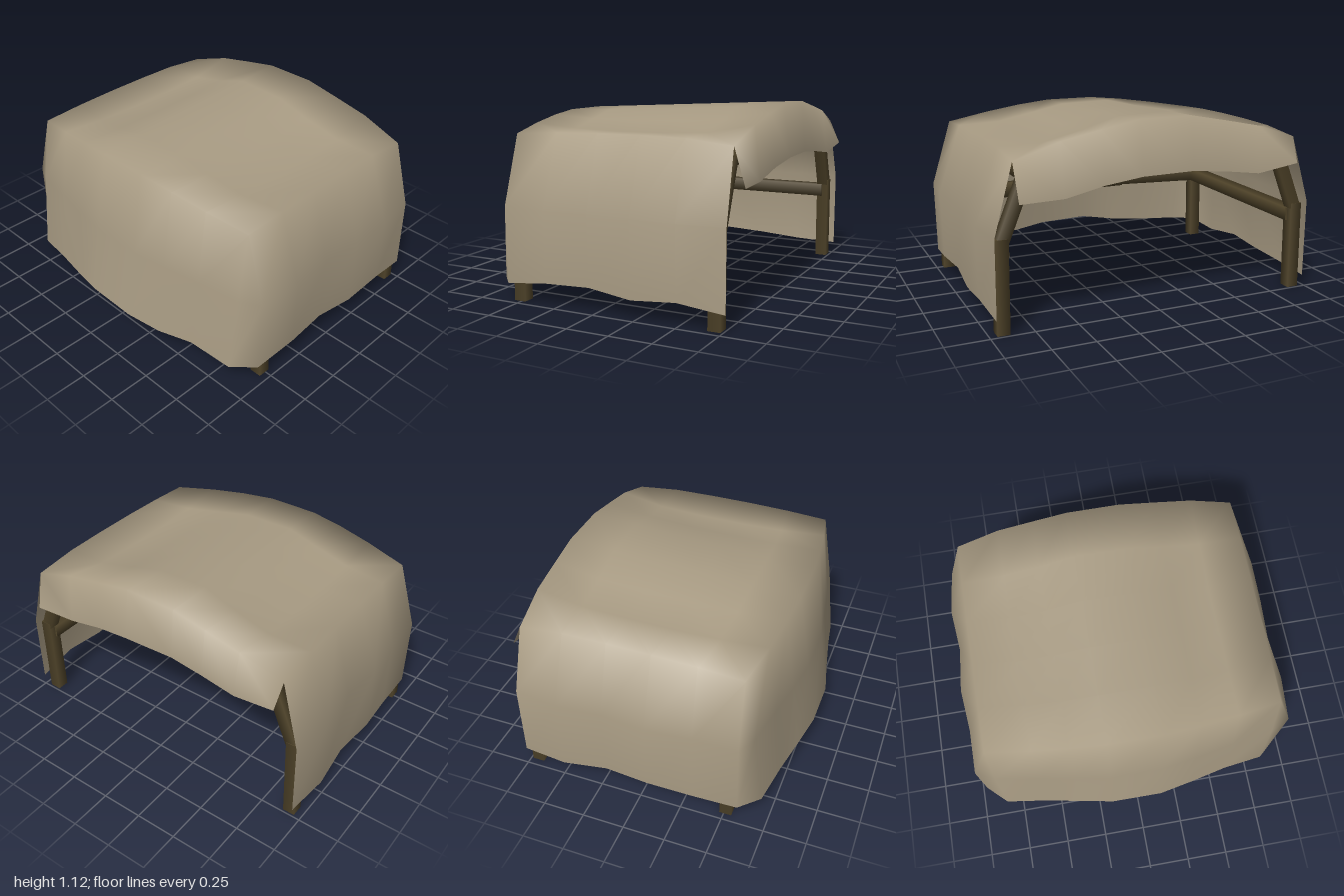
import * as THREE from 'three';
import { mergeVertices } from 'three/addons/utils/BufferGeometryUtils.js';

const fabric = new THREE.MeshStandardMaterial({ color: 0xa89b83, side: THREE.DoubleSide });
fabric.name = 'hide';
const wood = new THREE.MeshStandardMaterial({ color: 0x4f4329 });
wood.name = 'darkWood';

// Builds a smooth surface from quads, welding shared corners
function quadSurface(quads) {
  const pos = [];
  for (const [a, b, c, d] of quads) pos.push(...a, ...b, ...c, ...a, ...c, ...d);
  let g = new THREE.BufferGeometry();
  g.setAttribute('position', new THREE.Float32BufferAttribute(pos, 3));
  g = mergeVertices(g, 1e-4);
  g.computeVertexNormals();
  return g;
}

function buildCover() {
  const lerp = THREE.MathUtils.lerp;
  const quads = [];
  // Roof rows from front to back: z, left x, right x, left height, right height, sag between the ends
  const rows = [
    [0.86, -0.57, 0.76, 0.95, 0.945, -0.028], [0.6, -0.62, 0.77, 0.99, 1.03, 0.05],
    [0.37, -0.65, 0.77, 1.02, 1.075, 0.04], [0.15, -0.67, 0.77, 1.04, 1.115, 0.01],
    [-0.17, -0.67, 0.77, 1.04, 1.115, 0], [-0.38, -0.65, 0.77, 1.02, 1.075, 0.04],
    [-0.6, -0.62, 0.77, 0.99, 1.03, 0.05], [-0.86, -0.57, 0.75, 0.95, 0.945, -0.028],
  ];
  const cols = 5;
  const last = rows.length - 1;
  const sagShape = [0, 0.9, 1, 0.9, 0.6, 0];
  const roof = (c, j) => {
    const [z, xl, xr, yl, yr, sag] = rows[j];
    const t = c / cols;
    return [lerp(xr, xl, t), lerp(yr, yl, t) - sag * sagShape[c], z];
  };
  for (let c = 0; c < cols; c++)
    for (let j = 0; j < last; j++)
      quads.push([roof(c, j), roof(c, j + 1), roof(c + 1, j + 1), roof(c + 1, j)]);

  // Hanging walls: each stave runs top, middle, hem; the open ends curl in
  const staves = [];
  const frontHem = [[0.97, 0.1], [0.99, 0.135], [0.985, 0.11], [0.97, 0.14], [0.99, 0.135], [0.97, 0.1]];
  const backHem = [[0.965, 0.08], [0.99, 0.08], [0.965, 0.105], [0.99, 0.11], [0.965, 0.08], [0.965, 0.09]];
  const leftHem = [[-0.69, 0.095], [-0.73, 0.135], [-0.775, 0.105], [-0.82, 0.125],
    [-0.82, 0.135], [-0.775, 0.105], [-0.73, 0.09], [-0.69, 0.08]];
  const hemX = (c) => lerp(0.77, -0.58, c / cols);
  const midZ = (c, z) => (c === 0 ? 0.968 : z + 0.01);
  for (let c = 0; c <= cols; c++) {
    const [z, y] = frontHem[c];
    staves.push([roof(c, 0), [hemX(c), 0.55, midZ(c, z)], [hemX(c), y, z]]);
  }
  for (let j = 0; j <= last; j++) {
    const top = roof(cols, j);
    const [x, y] = leftHem[j];
    staves.push([top, [lerp(top[0], x, 0.55), 0.55, top[2]], [x, y, top[2] * 0.985]]);
  }
  for (let c = cols; c >= 0; c--) {
    const [z, y] = backHem[c];
    staves.push([roof(c, last), [hemX(c), 0.55, -midZ(c, z)], [hemX(c), y, -z]]);
  }
  for (let s = 0; s < staves.length - 1; s++)
    for (let k = 0; k < 2; k++)
      quads.push([staves[s][k], staves[s + 1][k], staves[s + 1][k + 1], staves[s][k + 1]]);

  // Short flap over the open end
  const flapY = [0.73, 0.73, 0.78, 0.81, 0.81, 0.79, 0.76, 0.8];
  const flapX = [0.82, 0.8, 0.805, 0.815, 0.8, 0.805, 0.81, 0.82];
  const hem = (j) => [flapX[j], flapY[j], rows[j][0] * 0.985];
  for (let j = 0; j < last; j++) quads.push([roof(0, j), hem(j), hem(j + 1), roof(0, j + 1)]);
  return quadSurface(quads);
}

// Straight square-section beam between two points, h is half its thickness
function beam(name, a, b, h) {
  const from = new THREE.Vector3(...a);
  const dir = new THREE.Vector3(...b).sub(from);
  const r = h * Math.SQRT2;
  const m = new THREE.Mesh(new THREE.CylinderGeometry(r, r, dir.length(), 4, 1, false, Math.PI / 4), wood);
  m.position.copy(from).addScaledVector(dir, 0.5);
  m.quaternion.setFromUnitVectors(new THREE.Vector3(0, 1, 0), dir.normalize());
  m.name = name;
  return m;
}

export function createModel() {
  const model = new THREE.Group();
  model.name = 'shelter';
  const cover = new THREE.Mesh(buildCover(), fabric);
  cover.name = 'cover';
  model.add(cover);

  const frame = new THREE.Group();
  frame.name = 'frame';
  model.add(frame);
  const xr = 0.7, xl = -0.51;
  for (const s of [1, -1]) {
    // Bent legs
    for (const x of [xr, xl]) {
      frame.add(beam('leg', [x, 0, s * 0.922], [x, 0.53, s * 0.918], 0.036));
      frame.add(beam('upperLeg', [x, 0.5, s * 0.918], [x, 0.87, s * 0.77], 0.034));
    }
    // Side rails and rafters
    frame.add(beam('lowerSideRail', [xr, 0.46, s * 0.91], [xl, 0.46, s * 0.91], 0.04));
    frame.add(beam('upperSideRail', [xr, 0.86, s * 0.77], [xl, 0.86, s * 0.77], 0.034));
    frame.add(beam('rafter', [xr, 0.86, s * 0.77], [xr, 0.98, 0], 0.032));
    // Closed end rail, bowed outwards
    frame.add(beam('lowerEndRail', [xl, 0.46, s * 0.91], [-0.6, 0.46, s * 0.35], 0.048));
  }
  frame.add(beam('lowerEndRailMiddle', [-0.6, 0.46, 0.36], [-0.6, 0.46, -0.36], 0.048));
  frame.add(beam('upperEndRail', [xl, 0.87, 0.77], [xl, 0.87, -0.77], 0.034));
  frame.add(beam('ridgePole', [xr, 0.98, 0], [xl, 0.89, 0], 0.038));
  return model;
}
